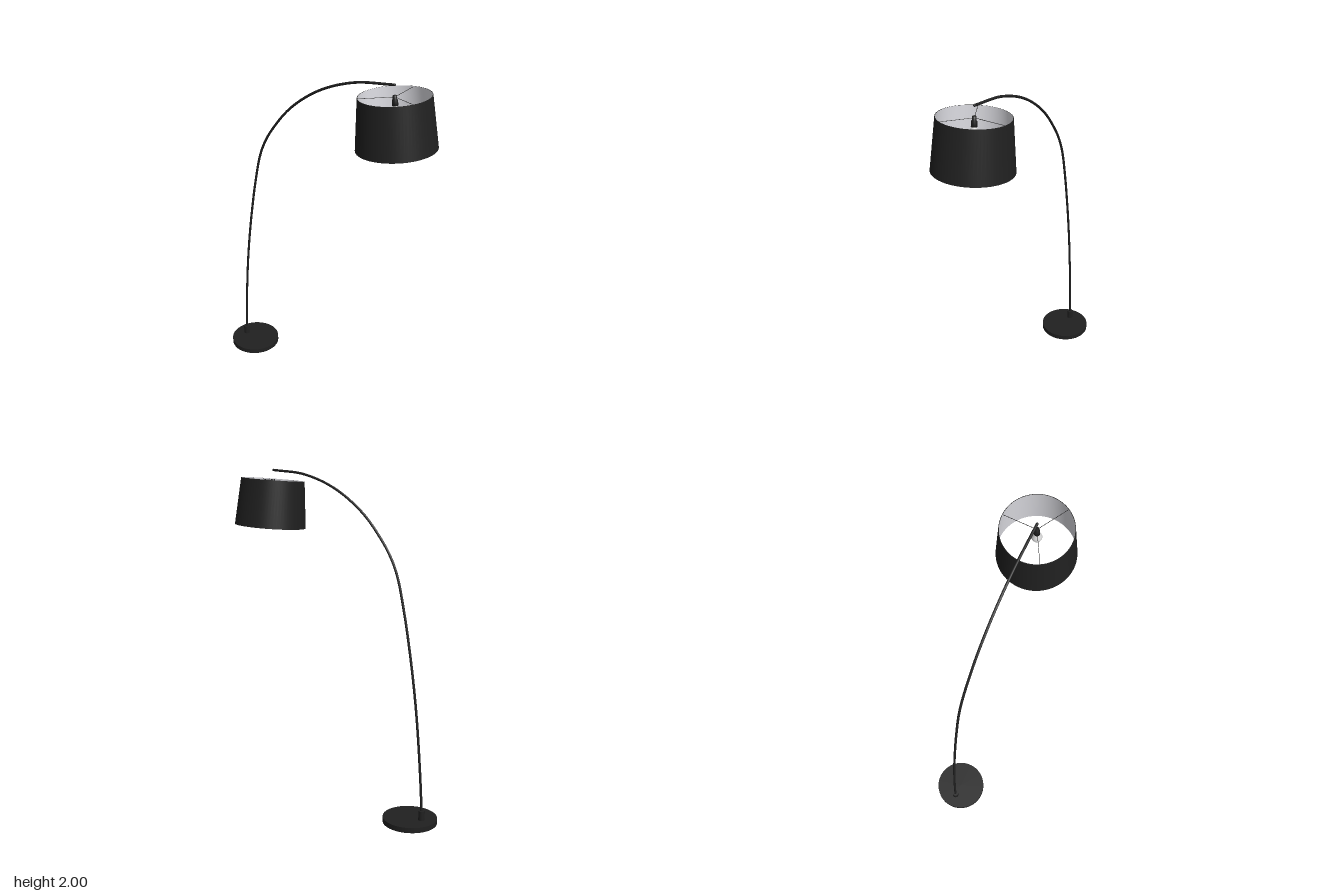
import * as THREE from 'three';

export function createModel() {
  const lamp = new THREE.Group();
  lamp.name = 'arcFloorLamp';
  const black = new THREE.MeshStandardMaterial({ color: 0x202020 });
  black.name = 'black';
  const lining = new THREE.MeshStandardMaterial({ color: 0xe6e6ec, side: THREE.DoubleSide });
  lining.name = 'white lining';
  const glass = new THREE.MeshStandardMaterial({ color: 0xdcdcdc });
  glass.name = 'bulb white';

  const add = (parent, name, geometry, material, x = 0, y = 0, z = 0) => {
    const mesh = new THREE.Mesh(geometry, material);
    mesh.name = name;
    mesh.position.set(x, y, z);
    parent.add(mesh);
    return mesh;
  };
  const profile = (points, segments) =>
    new THREE.LatheGeometry(points.map(([r, y]) => new THREE.Vector2(r, y)), segments);

  // Round foot and the collar that holds the pole
  add(lamp, 'base', new THREE.CylinderGeometry(0.155, 0.155, 0.03, 64), black, -0.54, 0.015);
  add(lamp, 'poleCollar', new THREE.CylinderGeometry(0.018, 0.018, 0.06, 24), black, -0.616, 0.055);

  // Arched pole with a rounded tip
  const path = new THREE.CatmullRomCurve3([
    [-0.617, 0.06], [-0.601, 0.3], [-0.574, 0.6], [-0.549, 0.8], [-0.518, 1.0],
    [-0.481, 1.2], [-0.433, 1.4], [-0.39, 1.5], [-0.325, 1.6], [-0.2, 1.743],
    [-0.01, 1.878], [0.21, 1.962], [0.445, 1.993],
  ].map(([x, y]) => new THREE.Vector3(x, y, 0)));
  add(lamp, 'pole', new THREE.TubeGeometry(path, 120, 0.007, 12), black);
  add(lamp, 'poleTip', new THREE.SphereGeometry(0.007, 12, 8), black, 0.445, 1.993);

  // Tilted shade, with its origin at the centre of the upper rim
  const head = new THREE.Group();
  head.name = 'lampHead';
  head.position.set(0.45, 1.9375, 0);
  head.rotation.z = 0.092;
  lamp.add(head);
  const top = 0.191, bottom = 0.216, height = 0.279, wall = 0.003;
  add(head, 'shadeOuter', new THREE.CylinderGeometry(top, bottom, height, 72, 1, true), black, 0, -height / 2);
  add(head, 'shadeLining',
    new THREE.CylinderGeometry(top - wall, bottom - wall, height, 72, 1, true), lining, 0, -height / 2);
  const upperRim = add(head, 'upperRim', new THREE.RingGeometry(top - wall, top, 72), black);
  upperRim.rotation.x = -Math.PI / 2;
  const lowerRim = add(head, 'lowerRim', new THREE.RingGeometry(bottom - wall, bottom, 72), black, 0, -height);
  lowerRim.rotation.x = Math.PI / 2;

  // Three thin wires carry the shade
  for (let i = 0; i < 3; i++) {
    const angle = Math.PI / 2 + (i * Math.PI * 2) / 3;
    const end = new THREE.Vector3(Math.cos(angle), 0, -Math.sin(angle)).multiplyScalar(top - wall);
    const wire = new THREE.LineCurve3(new THREE.Vector3(), end);
    add(head, 'shadeWire', new THREE.TubeGeometry(wire, 1, 0.0013, 6), black, 0, -0.006);
  }

  // Socket and bulb
  add(head, 'socket', profile([[0, -0.05], [0.016, -0.05], [0.016, -0.022], [0.011, -0.018],
    [0.011, 0.002], [0, 0.002]], 24), black);
  add(head, 'bulb', profile([[0, -0.118], [0.012, -0.115], [0.023, -0.105], [0.028, -0.09],
    [0.025, -0.075], [0.017, -0.061], [0.013, -0.049]], 28), glass);

  return lamp;
}
